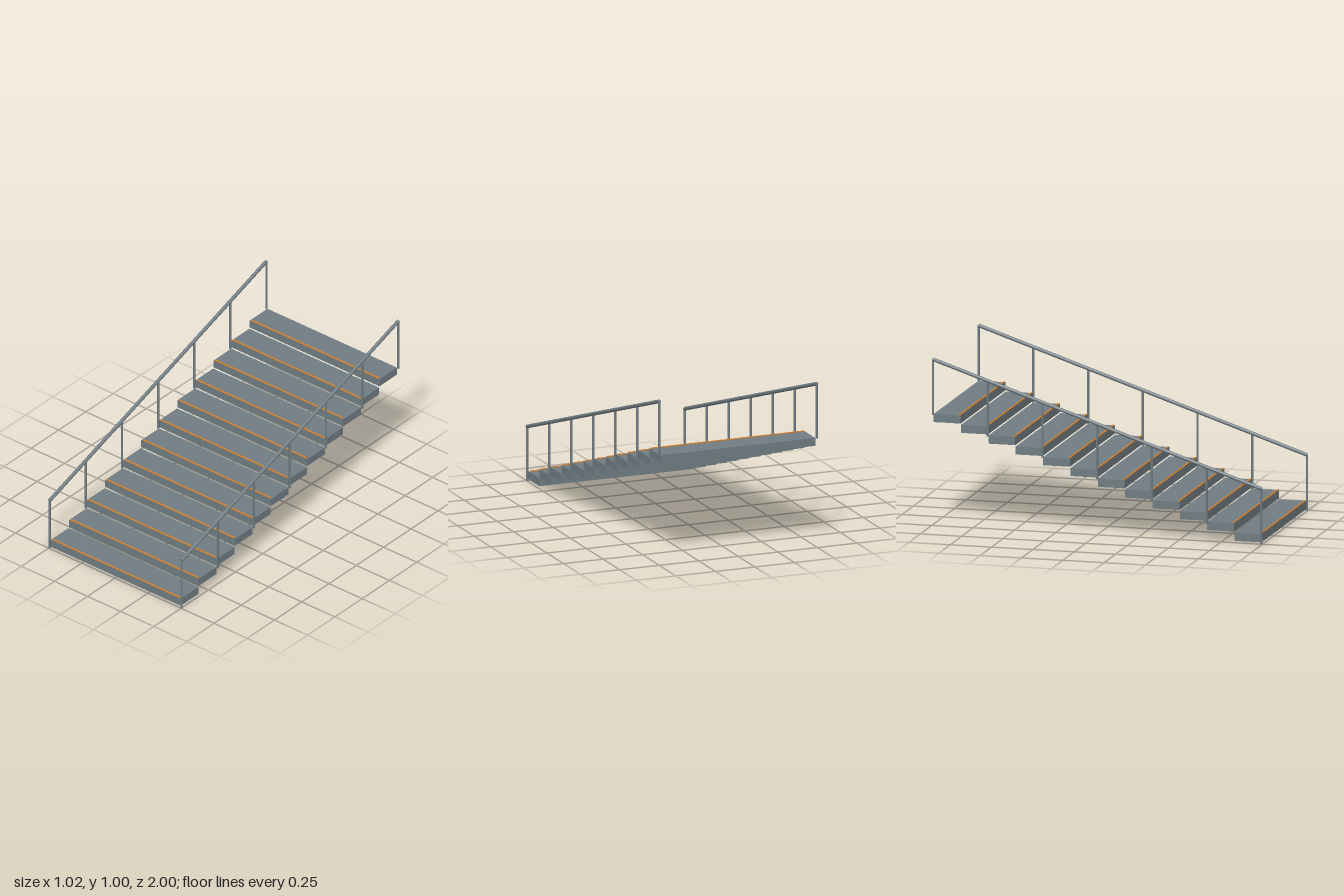
import * as THREE from 'three';

const STEPS = 12, RUN = 0.1655, RISE = 0.055;
const FRONT = 0.993, RAIL_X = 0.498, RAIL_HEIGHT = 0.33;

export function createModel() {
  const group = new THREE.Group();
  const steel = new THREE.MeshStandardMaterial({ color: 0x6f7c82 });
  const orange = new THREE.MeshStandardMaterial({ color: 0xd08030 });

  const add = (name, geometry, material, x, y, z) => {
    const mesh = new THREE.Mesh(geometry, material);
    mesh.name = name;
    mesh.position.set(x, y, z);
    group.add(mesh);
    return mesh;
  };

  // Floating treads, each with a raised coloured nosing strip
  const treadGeo = new THREE.BoxGeometry(0.98, 0.048, RUN - 0.003);
  const stripGeo = new THREE.BoxGeometry(0.966, 0.008, 0.01);
  for (let i = 0; i < STEPS; i++) {
    const front = FRONT - i * RUN, y = i * RISE;
    add('tread', treadGeo, steel, 0, y + 0.033, front - RUN / 2);
    add('nosingStrip', stripGeo, orange, 0, y + 0.058, front - 0.008);
  }

  // Railings: a post every second step and a sloping handrail
  const postGeo = new THREE.CylinderGeometry(0.007, 0.007, RAIL_HEIGHT, 12);
  const depth = STEPS * RUN, height = STEPS * RISE;
  const railGeo = new THREE.CylinderGeometry(0.011, 0.011, Math.hypot(depth, height), 16);
  for (const side of [-1, 1]) {
    for (let i = 0; i <= STEPS; i += 2) {
      add('railPost', postGeo, steel, side * RAIL_X, i * RISE + RAIL_HEIGHT / 2, FRONT - i * RUN);
    }
    const rail = add('handrail', railGeo, steel, side * RAIL_X, RAIL_HEIGHT + height / 2, FRONT - depth / 2);
    rail.rotation.x = -Math.atan2(depth, height);
  }
  return group;
}
